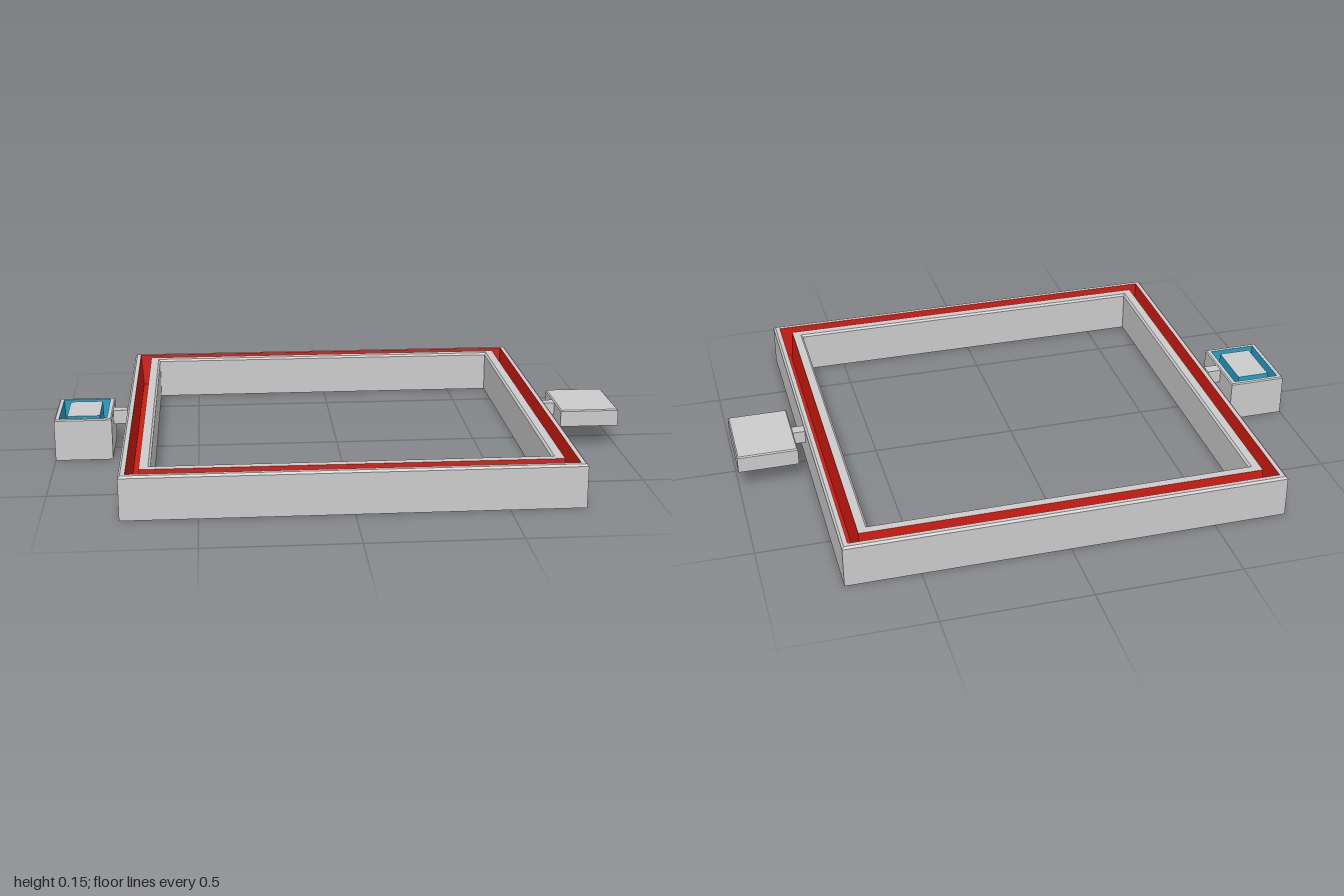
import * as THREE from 'three';

const GREY = 0xcccccc, RED = 0xd01a10, BLUE = 0x209fcc;

// Sweep a profile of [inset, y] points around a rectangle with half sizes hw, hd.
function rectSweep(name, color, hw, hd, profile) {
  const corners = [[1, 1], [1, -1], [-1, -1], [-1, 1]];
  const pos = [];
  const point = ([inset, y], [sx, sz]) => [sx * (hw - inset), y, sz * (hd - inset)];
  for (let i = 0; i < profile.length - 1; i++) {
    for (let k = 0; k < 4; k++) {
      const c0 = corners[k], c1 = corners[(k + 1) % 4];
      const a = point(profile[i], c0), b = point(profile[i], c1);
      const c = point(profile[i + 1], c1), d = point(profile[i + 1], c0);
      pos.push(...a, ...b, ...c, ...a, ...c, ...d);
    }
  }
  const geo = new THREE.BufferGeometry();
  geo.setAttribute('position', new THREE.Float32BufferAttribute(pos, 3));
  geo.computeVertexNormals();
  const mesh = new THREE.Mesh(geo, new THREE.MeshStandardMaterial({ color, side: THREE.DoubleSide }));
  mesh.name = name;
  return mesh;
}

// Small bridge, open underneath and at both ends.
function connector(name, x0, x1, y0, y1) {
  const hz = 0.02;
  const group = new THREE.Group();
  group.name = name;
  const mat = new THREE.MeshStandardMaterial({ color: GREY, side: THREE.DoubleSide });
  const top = new THREE.Mesh(new THREE.PlaneGeometry(x1 - x0, hz * 2).rotateX(-Math.PI / 2), mat);
  top.position.set((x0 + x1) / 2, y1, 0);
  top.name = name + 'Top';
  group.add(top);
  for (const s of [1, -1]) {
    const side = new THREE.Mesh(new THREE.PlaneGeometry(x1 - x0, y1 - y0).rotateY(s > 0 ? 0 : Math.PI), mat);
    side.position.set((x0 + x1) / 2, (y0 + y1) / 2, s * hz);
    side.name = name + 'Side';
    group.add(side);
  }
  return group;
}

export function createModel() {
  const model = new THREE.Group();
  const H = 0.148, bev = 0.007;

  // Square frame: hollow shell, open below, with a bevelled rim
  model.add(rectSweep('frameOuterShell', GREY, 0.75, 0.75,
    [[0, 0], [0, H - bev], [bev, H], [0.022, H]]));
  model.add(rectSweep('frameInnerShell', GREY, 0.75, 0.75,
    [[0.064, H], [0.1 - bev, H], [0.1, H - bev], [0.1, 0]]));
  // Coloured groove sunk into the frame
  model.add(rectSweep('frameGroove', RED, 0.75, 0.75,
    [[0.022, H], [0.03, 0.03], [0.056, 0.03], [0.064, H]]));

  // Box on the right side with its own groove and centre panel
  const box = new THREE.Group();
  box.name = 'sideBox';
  box.position.x = -0.9;
  box.add(rectSweep('boxShell', GREY, 0.1, 0.133,
    [[0, 0], [0, H - 0.004], [0.004, H], [0.017, H]]));
  box.add(rectSweep('boxGroove', BLUE, 0.1, 0.133,
    [[0.017, H], [0.021, 0.03], [0.038, 0.03], [0.043, H]]));
  box.add(rectSweep('boxCentrePanel', GREY, 0.1, 0.133, [[0.043, H], [0.1, H]]));
  model.add(box);

  // Thin plate on the left side, open below
  const plate = rectSweep('sidePlate', GREY, 0.104, 0.135,
    [[0, 0.08], [0, 0.136], [0.004, 0.14], [0.104, 0.14]]);
  plate.position.x = 0.896;
  model.add(plate);

  // Bridges between the frame and the side pieces
  model.add(connector('boxConnector', -0.8, -0.75, 0.095, 0.145));
  model.add(connector('plateConnector', 0.75, 0.792, 0.09, 0.135));
  return model;
}
